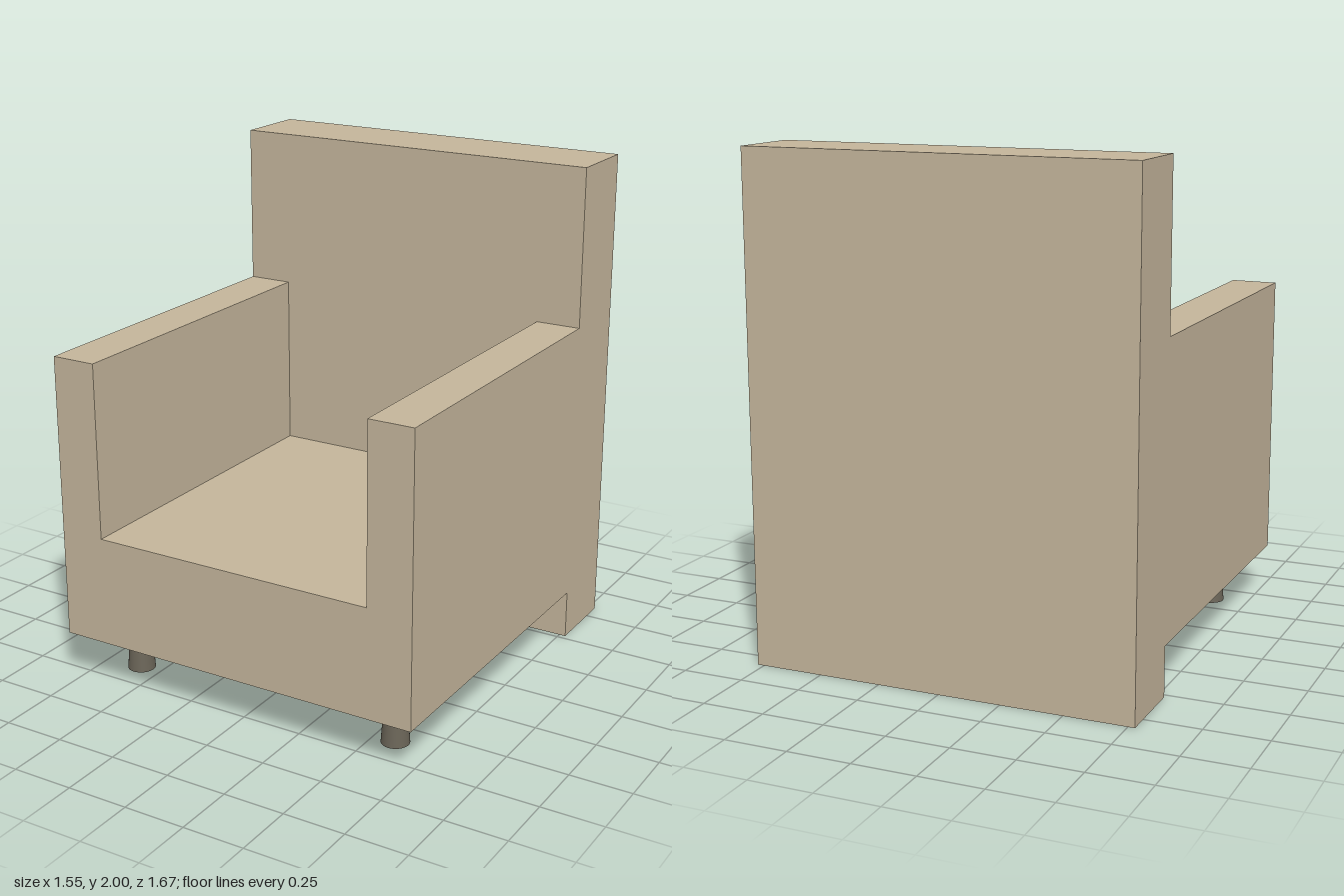
import * as THREE from 'three';

const W = 0.777, INNER = 0.592;          // half widths: outside, between arms
const BASE = 0.2, SEAT = 0.645, ARM = 1.355, TOP = 2;
const FRONT = 0.835, BACK_FACE = -0.522; // z of the front and of the backrest face

export function createModel() {
  const group = new THREE.Group();
  group.name = 'armchair';
  const fabric = new THREE.MeshStandardMaterial({ color: 0xc4b59b });
  const wood = new THREE.MeshStandardMaterial({ color: 0x6b6558 });

  const add = (name, geometry, material, x, y, z) => {
    const mesh = new THREE.Mesh(geometry, material);
    mesh.name = name;
    mesh.position.set(x, y, z);
    group.add(mesh);
  };

  // Seat and both arms: one U-shaped section pushed from back to front
  const section = new THREE.Shape([
    [-W, BASE], [W, BASE], [W, ARM], [INNER, ARM],
    [INNER, SEAT], [-INNER, SEAT], [-INNER, ARM], [-W, ARM],
  ].map(([x, y]) => new THREE.Vector2(x, y)));
  const body = new THREE.ExtrudeGeometry(section, { depth: FRONT - BACK_FACE, bevelEnabled: false });
  add('seatAndArms', body, fabric, 0, 0, BACK_FACE);

  // Backrest slab reaching down to the floor
  const depth = FRONT + BACK_FACE;
  add('backrest', new THREE.BoxGeometry(2 * W, TOP, depth), fabric, 0, TOP / 2, BACK_FACE - depth / 2);

  // Tapered legs, wider at the foot; the rear pair sits inside the backrest slab
  const leg = new THREE.CylinderGeometry(0.042, 0.056, BASE, 32);
  for (const [side, x] of [['Left', INNER], ['Right', -INNER]]) {
    add('front' + side + 'Leg', leg, wood, x, BASE / 2, 0.613);
    add('rear' + side + 'Leg', leg, wood, x, BASE / 2 + 0.003, -0.613);
  }
  return group;
}
